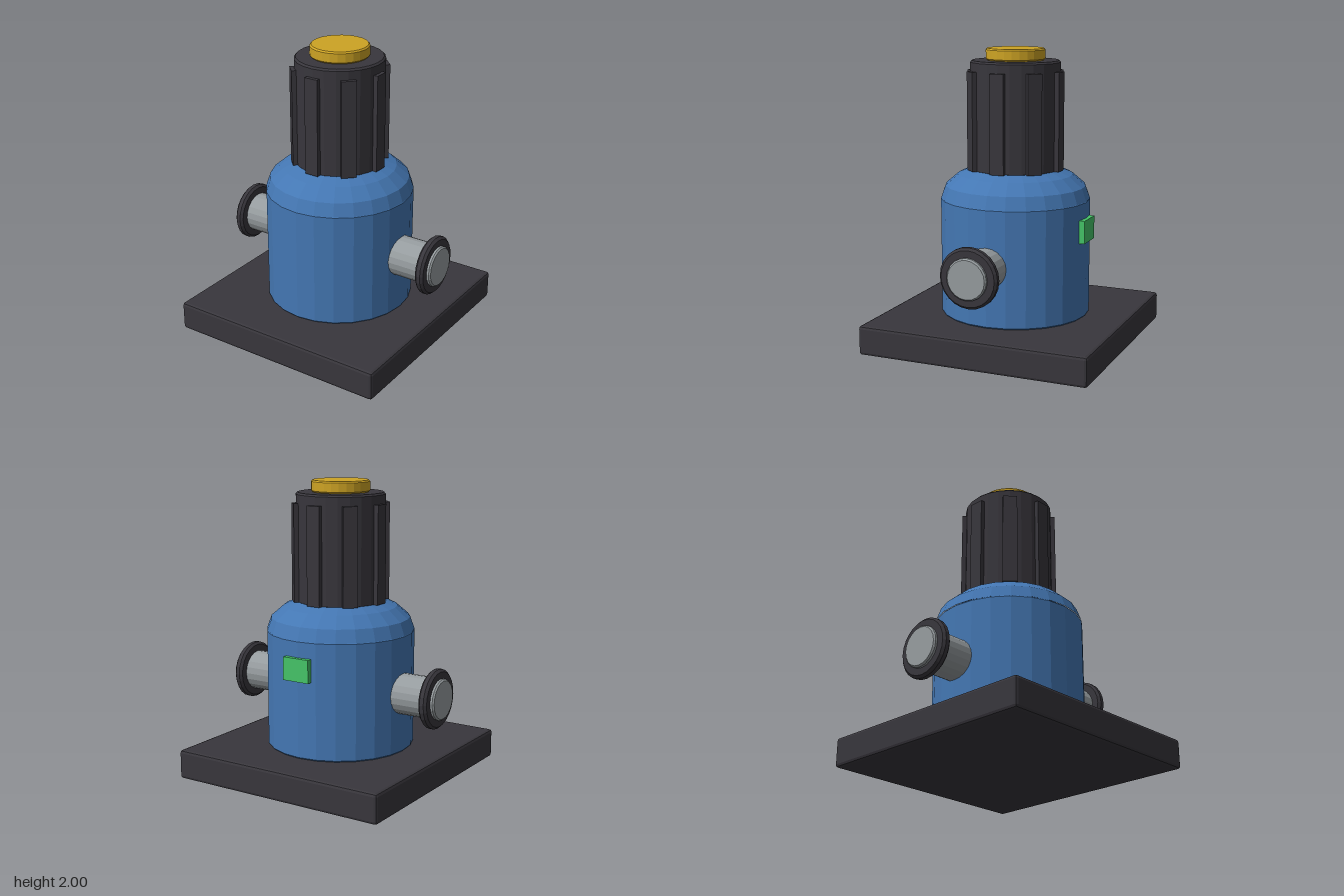
import * as THREE from 'three';
import { RoundedBoxGeometry } from 'three/addons/geometries/RoundedBoxGeometry.js';

const mat = (name, color) => {
  const m = new THREE.MeshStandardMaterial({ color });
  m.name = name;
  return m;
};

// Faceted normals for hard-edged low-poly surfaces
function faceted(geo) {
  const g = geo.index ? geo.toNonIndexed() : geo;
  g.computeVertexNormals();
  return g;
}

// Turned solid from [radius, height] pairs listed bottom to top
const turned = (profile, sides = 24) =>
  faceted(new THREE.LatheGeometry(profile.map(([r, y]) => new THREE.Vector2(r, y)), sides));

// Closed disc or cylinder with chamfered rims
const drum = (r, y0, y1, c, sides = 24) =>
  turned([[0, y0], [r - c, y0], [r, y0 + c], [r, y1 - c], [r - c, y1], [0, y1]], sides);

export function createModel() {
  const model = new THREE.Group();
  model.name = 'valve';
  const dark = mat('charcoal', 0x38363c);
  const blue = mat('blue', 0x4477b3);
  const grey = mat('steel', 0x969c9f);
  const gold = mat('gold', 0xcda324);
  const green = mat('green', 0x45c468);

  function add(name, geo, material, parent = model) {
    const mesh = new THREE.Mesh(geo, material);
    mesh.name = name;
    parent.add(mesh);
    return mesh;
  }

  // Square base plate
  const base = add('basePlate', faceted(new RoundedBoxGeometry(1.56, 0.2, 1.6, 1, 0.02)), dark);
  base.position.y = 0.1;

  // Upright parts are very slightly narrower across x
  const tower = new THREE.Group();
  tower.name = 'tower';
  tower.scale.x = 0.98;
  model.add(tower);

  // Round body
  add('body', drum(0.51, 0.2, 1.0, 0.01), blue, tower);

  // Flattened dome on the body
  const dome = [];
  for (let a = 0; a <= 80; a += 20) {
    const t = THREE.MathUtils.degToRad(a);
    dome.push([0.51 * Math.cos(t), 0.995 + 0.25 * Math.sin(t)]);
  }
  dome.push([0, 1.245]);
  add('dome', turned(dome), blue, tower);

  // Grip sleeve with eight ribs
  add('gripSleeve', drum(0.305, 1.18, 1.92, 0.012), dark, tower);
  for (let i = 0; i < 8; i++) {
    const geo = new THREE.BoxGeometry(0.1, 0.66, 0.06);
    geo.translate(0, 1.52, 0.3);
    add('gripRib', geo, dark, tower).rotation.y = (i * Math.PI) / 4;
  }

  // Button on top of the grip
  add('topButton', drum(0.2, 1.92, 2.0, 0.01), gold, tower);

  // Side pipes with flanges, one on each side
  for (const side of ['left', 'right']) {
    const port = new THREE.Group();
    port.name = side + 'Port';
    port.position.y = 0.605;
    port.rotation.y = side === 'left' ? 0 : Math.PI;
    model.add(port);
    const parts = [
      add('pipe', drum(0.138, 0.4, 0.8, 0.01, 20), grey, port),
      add('flange', drum(0.2, 0.715, 0.775, 0.016), dark, port),
    ];
    for (const part of parts) part.rotation.z = -Math.PI / 2;
  }

  // Small plate on the back
  const plate = add('backPlate', new THREE.BoxGeometry(0.196, 0.155, 0.05), green);
  plate.position.set(0, 0.807, -0.51);

  return model;
}
